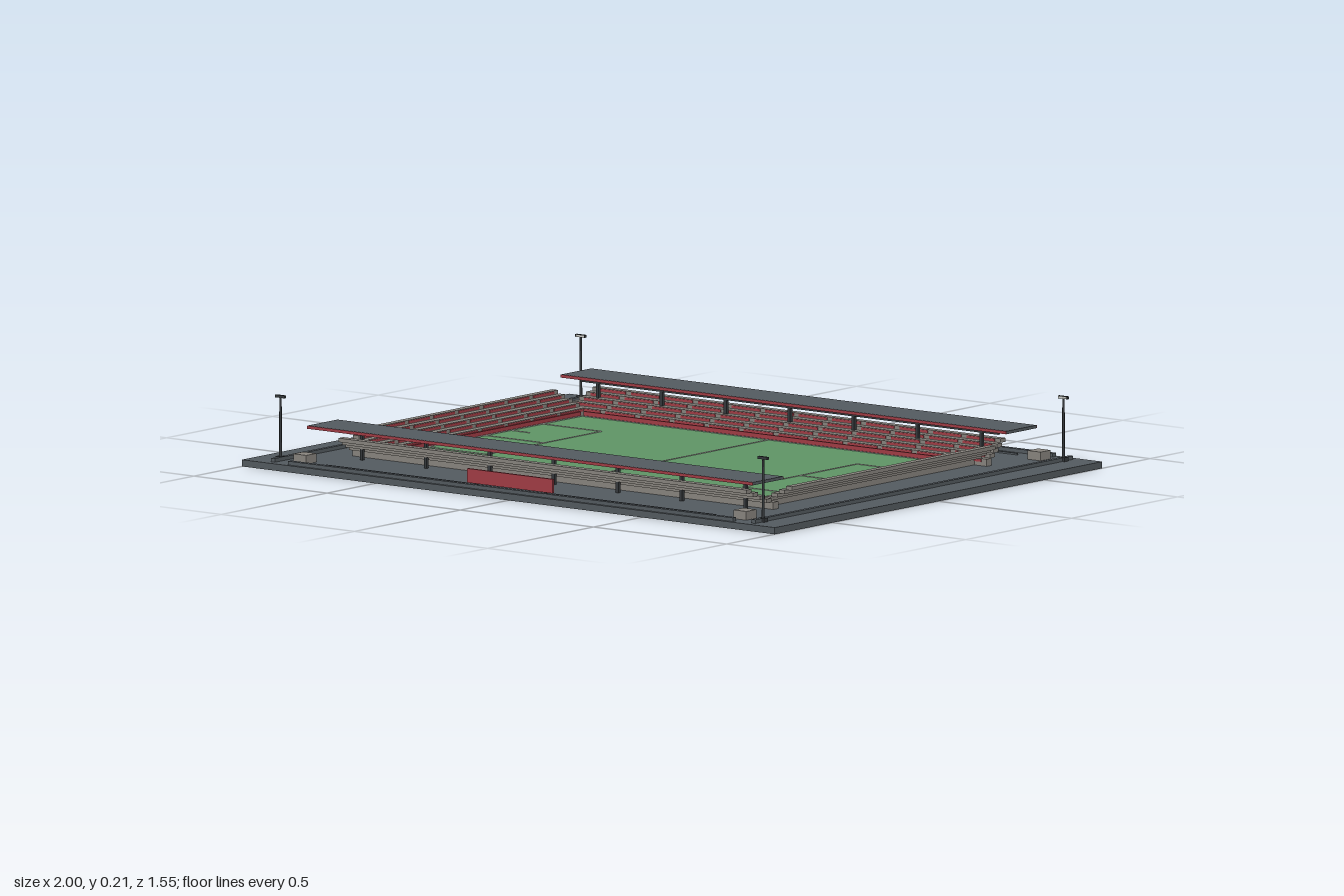
import * as THREE from 'three';

const paint = (name, color) => Object.assign(new THREE.MeshStandardMaterial({ color }), { name });

export function createModel() {
  const slate = paint('slate', 0x545b60);
  const concrete = paint('concrete', 0x89857f);
  const grass = paint('grass green', 0x5f9566);
  const red = paint('deep red', 0xa23c45);
  const white = paint('line white', 0xcfcfc8);
  const dark = paint('dark steel', 0x34383b);

  const model = new THREE.Group();
  model.name = 'stadium';

  // Box given by its centre in x and z, its underside y, and its size
  function box(name, mat, x, y, z, w, h, d, parent = model) {
    const mesh = new THREE.Mesh(new THREE.BoxGeometry(w, h, d), mat);
    mesh.name = name;
    mesh.position.set(x, y + h / 2, z);
    parent.add(mesh);
    return mesh;
  }
  function group(name) {
    const g = new THREE.Group();
    g.name = name;
    model.add(g);
    return g;
  }

  // Ground slab and pitch
  box('groundSlab', slate, 0, 0, 0, 2, 0.02, 1.546);
  box('pitch', grass, 0, 0.02, 0, 1.41, 0.004, 0.92);

  // Pitch markings
  const marks = group('pitchMarkings');
  const line = (x, z, w, d) => box('pitchLine', white, x, 0.024, z, w, 0.0015, d, marks);
  const t = 0.006;
  line(0, 0, t, 0.91);
  for (const s of [-1, 1]) {
    line(0, s * 0.455, 1.4, t);
    line(s * 0.7, 0, t, 0.91);
    line(s * 0.48, 0, t, 0.54);
    line(s * 0.59, 0, 0.22, t);
    for (const k of [-1, 1]) {
      line(s * 0.59, k * 0.27, 0.22, t);
      line(s * 0.665, k * 0.12, 0.07, t);
    }
  }

  // Boards around the pitch
  for (const s of [-1, 1]) {
    box('endBoard', red, s * 0.711, 0.02, 0, 0.007, 0.016, 0.92);
    box('sideBoard', red, 0, 0.02, s * 0.472, 1.41, 0.016, 0.007);
  }

  // A stepped stand facing -z, with seat blocks on the front of each step
  function stand(name, start, halfLength, step, turn, blocks) {
    const g = group(name);
    g.rotation.y = turn;
    const tiers = 5, rise = 0.0115;
    for (let i = 0; i < tiers; i++) {
      const len = 2 * (halfLength - i * 0.006);
      const y = 0.03 + i * rise;
      const z = start + (i + 0.5) * step;
      box('tier', concrete, 0, y, z, len, rise, step, g);
      const pitch = (len - 0.02) / blocks;
      for (let b = 0; b < blocks; b++) {
        box('seatRow', red, (b - (blocks - 1) / 2) * pitch, y + 0.002, z - step / 2 - 0.001,
          pitch - 0.02, rise - 0.004, 0.003, g);
      }
    }
    box('standFooting', concrete, 0, 0.02, start + step / 2, 2 * halfLength, 0.01, step, g);
  }
  stand('frontStand', 0.492, 0.79, 0.024, 0, 12);
  stand('backStand', 0.492, 0.79, 0.024, Math.PI, 12);
  stand('leftStand', 0.722, 0.505, 0.022, Math.PI / 2, 8);
  stand('rightStand', 0.722, 0.505, 0.022, -Math.PI / 2, 8);

  // Roofs on posts over the two long stands
  for (const s of [-1, 1]) {
    const roof = group(s > 0 ? 'frontRoof' : 'backRoof');
    box('roofSlab', slate, 0, 0.116, s * 0.599, 1.672, 0.009, 0.142, roof);
    for (const z of [0.527, 0.671]) box('roofTrim', red, 0, 0.116, s * z, 1.672, 0.0085, 0.002, roof);
    box('roofBeam', dark, 0, 0.106, s * 0.557, 1.57, 0.01, 0.01, roof);
    for (let i = -3; i <= 3; i++) box('roofPost', dark, i * 0.24, 0.02, s * 0.557, 0.01, 0.09, 0.01, roof);
  }

  // Outer walls and kerbs
  for (const s of [-1, 1]) {
    box('outerWall', slate, 0, 0.02, s * 0.755, 1.67, 0.011, 0.016);
    box('kerb', slate, 0, 0.02, s * 0.714, 1.46, 0.005, 0.005);
    box('endWall', slate, s * 0.902, 0.02, 0, 0.014, 0.011, 1.5);
  }

  // Front entrance sign
  box('entranceSign', red, 0, 0.036, 0.762, 0.32, 0.042, 0.008);
  for (const s of [-1, 1]) box('signPost', dark, s * 0.13, 0.02, 0.76, 0.008, 0.02, 0.005);

  // Corner huts and floodlights
  for (const sx of [-1, 1]) for (const sz of [-1, 1]) {
    box('cornerHut', concrete, sx * 0.826, 0.02, sz * 0.695, 0.048, 0.026, 0.048);
    const light = group('floodlight');
    light.position.set(sx * 0.906, 0, sz * 0.709);
    box('mastFoot', dark, 0, 0.02, 0, 0.022, 0.012, 0.018, light);
    const mast = new THREE.Mesh(new THREE.CylinderGeometry(0.0035, 0.0045, 0.19, 8), dark);
    mast.name = 'mast';
    mast.position.y = 0.115;
    light.add(mast);
    box('lampHead', dark, 0, 0.206, 0, 0.036, 0.008, 0.008, light);
    box('lampFace', white, -sx * 0.001, 0.2075, -sz * 0.0045, 0.03, 0.005, 0.002, light);
  }
  return model;
}
